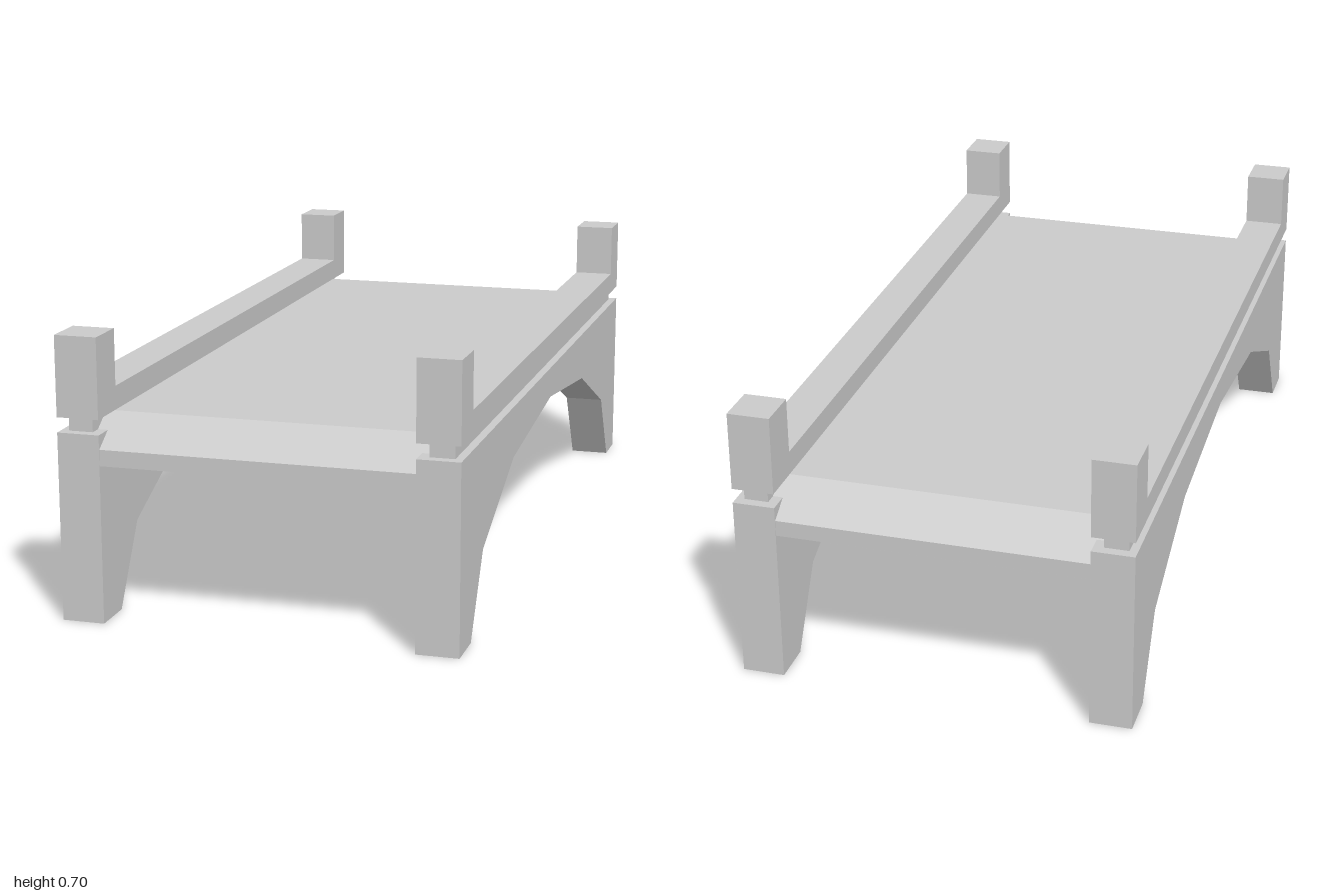
import * as THREE from 'three';

const material = new THREE.MeshStandardMaterial({ color: 0xcccccc, flatShading: true });

// Extrudes a (z, y) outline, symmetric in z, across x from x0 to x1.
// half lists the points with z >= 0 in order; the other half is mirrored.
function profile(name, half, x0, x1) {
  const mirrored = half.filter(([z]) => z > 0).reverse().map(([z, y]) => [-z, y]);
  const shape = new THREE.Shape([...half, ...mirrored].map(([z, y]) => new THREE.Vector2(z, y)));
  const geometry = new THREE.ExtrudeGeometry(shape, { depth: x1 - x0, bevelEnabled: false });
  geometry.rotateY(-Math.PI / 2); // shape x -> z, depth -> -x
  geometry.translate(x1, 0, 0);
  const mesh = new THREE.Mesh(geometry, material);
  mesh.name = name;
  return mesh;
}

export function createModel() {
  const bridge = new THREE.Group();
  bridge.name = 'bridge';

  // Deck plate with ramped ends
  const deck = [[0.89, 0.5], [0.998, 0.43], [0.998, 0.39], [0.89, 0.463]];
  bridge.add(profile('deck', deck, -0.415, 0.415));

  // Arched side wall, from the top corner round to the crown of the arch
  const wall = [[1, 0.465], [1, 0], [0.89, 0], [0.775, 0.195], [0.45, 0.335], [0, 0.385]];
  // Recessed strip between wall and parapet
  const strip = [[0.975, 0.46], [0.975, 0.506]];
  // Parapet with a raised post at each end
  const parapet = [[0.89, 0.56], [0.89, 0.7], [1, 0.7], [1, 0.502]];

  for (const [label, sign] of [['left', 1], ['right', -1]]) {
    const side = new THREE.Group();
    side.name = label + 'Side';
    const add = (name, half, inner, outer) =>
      side.add(profile(name, half, Math.min(sign * inner, sign * outer), Math.max(sign * inner, sign * outer)));
    add('archWall', wall, 0.385, 0.49);
    add('recessedStrip', strip, 0.41, 0.47);
    add('parapet', parapet, 0.385, 0.49);
    bridge.add(side);
  }
  return bridge;
}
